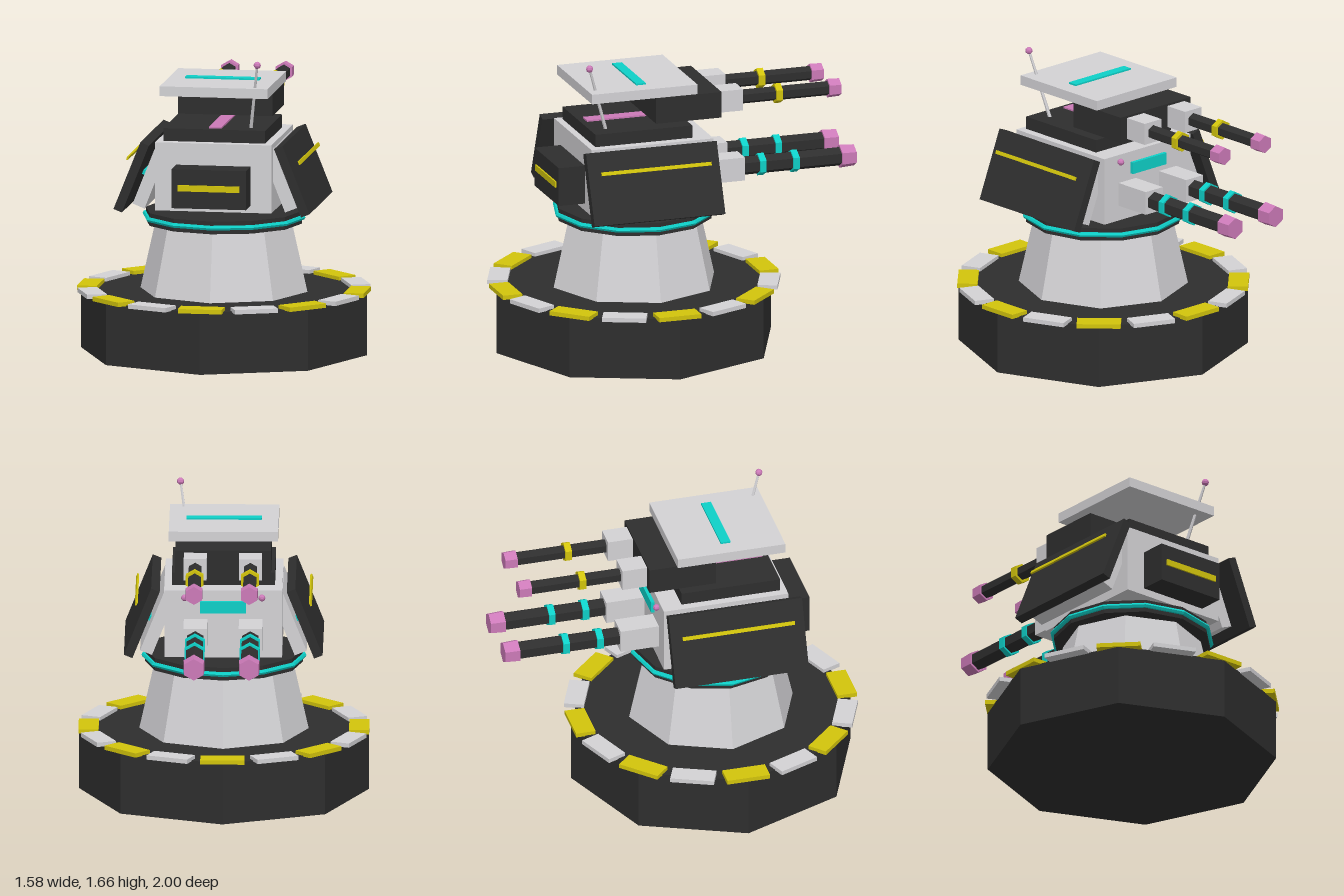
import * as THREE from 'three';

const mat = (name, color) => {
  const m = new THREE.MeshStandardMaterial({ color });
  m.name = name;
  m.flatShading = true;
  return m;
};

export function createModel() {
  const dark = mat('charcoal', 0x2e2e2e);
  const grey = mat('light grey', 0xd3d2d5);
  const yellow = mat('yellow', 0xd2c40c);
  const cyan = mat('cyan', 0x0ed0c8);
  const pink = mat('pink', 0xcc7ab8);
  const CZ = 0.21; // axis of the base and pedestal

  const root = new THREE.Group();
  root.name = 'gunTurret';

  const add = (name, geo, m, x, y, z, parent = root) => {
    const mesh = new THREE.Mesh(geo, m);
    mesh.name = name;
    mesh.position.set(x, y, z);
    parent.add(mesh);
    return mesh;
  };
  const box = (name, m, w, h, d, x, y, z, parent) =>
    add(name, new THREE.BoxGeometry(w, h, d), m, x, y, z, parent);
  const drum = (name, m, rTop, rBottom, y0, y1, sides) =>
    add(name, new THREE.CylinderGeometry(rTop, rBottom, y1 - y0, sides), m, 0, (y0 + y1) / 2, CZ);
  // Six-sided tube along z, running from zBack to zFront
  const hex = (name, m, rFront, rBack, zBack, zFront, parent) =>
    add(name, new THREE.CylinderGeometry(rFront, rBack, zBack - zFront, 6).rotateX(-Math.PI / 2),
      m, 0, 0, (zBack + zFront) / 2, parent);

  // Base, pedestal and bearing
  drum('base', dark, 0.787, 0.787, 0, 0.34, 8);
  drum('pedestal', grey, 0.37, 0.46, 0.34, 0.74, 8);
  drum('bearing', dark, 0.43, 0.43, 0.715, 0.785, 12);
  add('bearingLight', new THREE.TorusGeometry(0.435, 0.014, 6, 12).rotateX(Math.PI / 2), cyan, 0, 0.75, CZ);

  // Alternating plates around the rim
  for (let i = 0; i < 16; i++) {
    const a = (i * Math.PI) / 8;
    const plate = box('rimPlate', i % 2 ? grey : yellow, 0.24, 0.024, 0.11,
      Math.sin(a) * 0.735, 0.348, CZ + Math.cos(a) * 0.735);
    plate.rotation.y = a;
  }

  // Main body with front housing
  box('body', grey, 0.64, 0.375, 0.7, 0, 1.0125, CZ);
  box('frontHousing', dark, 0.41, 0.215, 0.16, 0, 0.9725, 0.63);
  box('frontStripe', yellow, 0.34, 0.034, 0.009, 0, 0.977, 0.7145);

  // Back sensor strip and studs
  box('backStrip', cyan, 0.25, 0.065, 0.02, 0, 1.108, -0.15);
  for (const s of [-1, 1])
    add('backStud', new THREE.SphereGeometry(0.019, 8, 6), pink, s * 0.21, 1.162, -0.153);

  // Sloped side armour
  for (const s of [-1, 1]) {
    const tilt = s * 0.38;
    box('sideArmour', dark, 0.05, 0.4, 0.75, s * 0.4425, 1.0125, 0.242).rotation.z = tilt;
    box('armourBrace', grey, 0.07, 0.35, 0.6, s * 0.355, 1.0, CZ).rotation.z = tilt;
    box('braceLight', cyan, 0.014, 0.025, 0.45, s * 0.403, 1.012, CZ).rotation.z = tilt;
    box('armourStripe', yellow, 0.01, 0.02, 0.63, s * 0.473, 1.107, 0.24).rotation.z = tilt;
  }

  // Upper deck, gun housing and roof
  box('deck', dark, 0.56, 0.07, 0.555, 0, 1.238, 0.247);
  box('deckStripe', pink, 0.07, 0.009, 0.49, 0, 1.2775, 0.245);
  box('upperHousing', dark, 0.52, 0.145, 0.375, 0, 1.3675, -0.018);
  box('roof', grey, 0.594, 0.054, 0.605, 0, 1.48, 0.247);
  box('roofStripe', cyan, 0.41, 0.009, 0.055, 0, 1.5115, 0.238);

  // Two pairs of guns pointing backwards
  for (const s of [-1, 1]) {
    const upper = new THREE.Group();
    upper.name = 'upperGun';
    upper.position.set(s * 0.15, 1.368, 0);
    root.add(upper);
    box('gunMount', grey, 0.125, 0.12, 0.16, 0, 0, -0.265, upper);
    hex('barrel', dark, 0.04, 0.04, -0.34, -0.86, upper);
    hex('barrelBand', yellow, 0.056, 0.056, -0.543, -0.579, upper);
    hex('muzzle', pink, 0.05, 0.053, -0.848, -0.916, upper);

    const lower = new THREE.Group();
    lower.name = 'lowerGun';
    lower.position.set(s * 0.15, 0.975, 0);
    root.add(lower);
    box('gunMount', grey, 0.128, 0.13, 0.225, 0, 0, -0.2425, lower);
    hex('barrel', dark, 0.052, 0.052, -0.35, -0.93, lower);
    for (const z of [-0.465, -0.655])
      hex('barrelBand', cyan, 0.063, 0.063, z + 0.018, z - 0.018, lower);
    hex('muzzle', pink, 0.06, 0.065, -0.917, -1.0, lower);
  }

  // Slanted antenna with a ball tip
  const foot = new THREE.Vector3(0.187, 1.27, 0.435);
  const tip = new THREE.Vector3(0.24, 1.637, 0.545);
  const dir = tip.clone().sub(foot);
  const mid = foot.clone().add(tip).multiplyScalar(0.5);
  add('antenna', new THREE.CylinderGeometry(0.007, 0.01, dir.length(), 6), grey, mid.x, mid.y, mid.z)
    .quaternion.setFromUnitVectors(new THREE.Vector3(0, 1, 0), dir.normalize());
  add('antennaTip', new THREE.SphereGeometry(0.02, 8, 6), pink, tip.x, tip.y, tip.z);

  return root;
}
